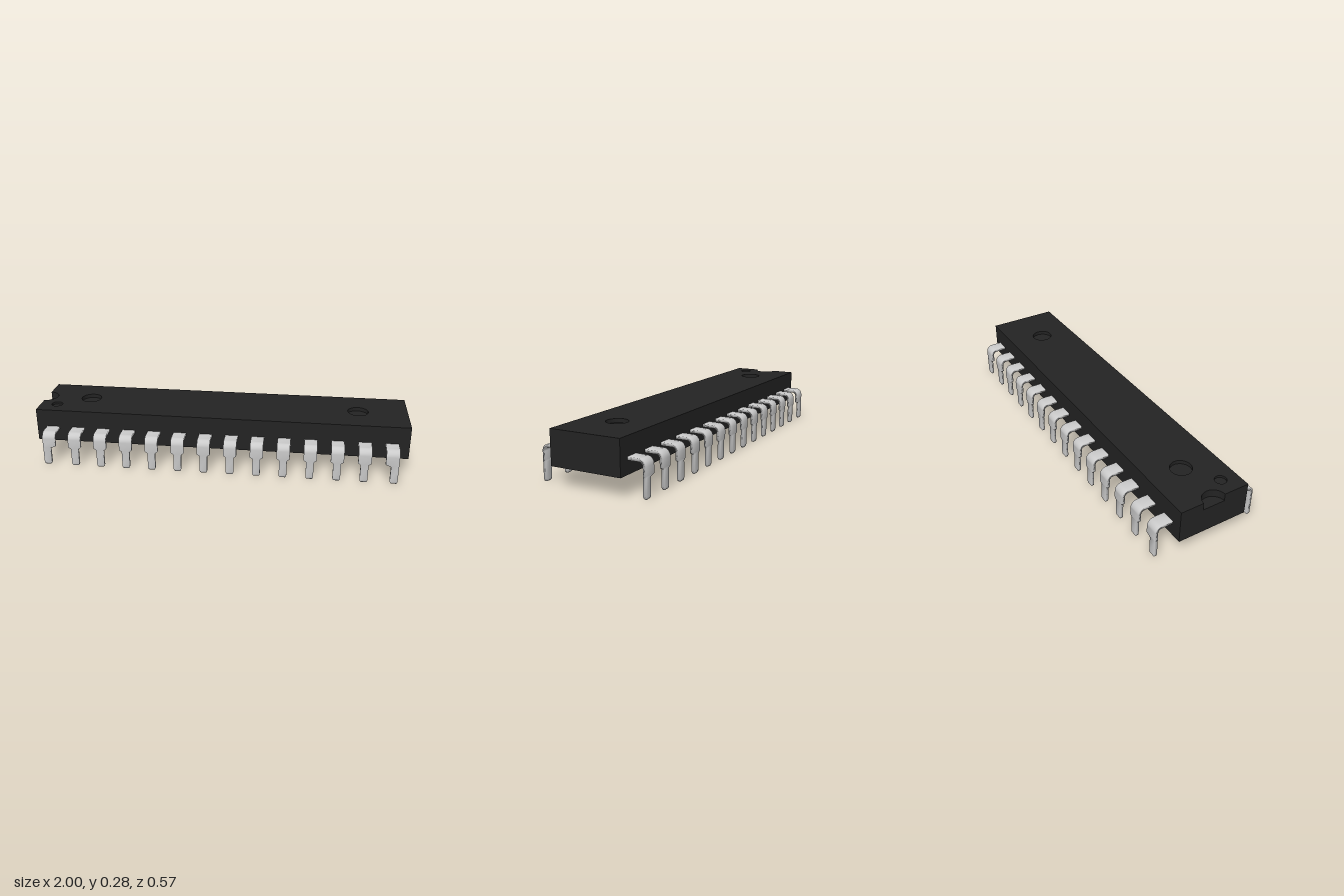
import * as THREE from 'three';

const bodyMat = new THREE.MeshStandardMaterial({ color: 0x232323 });
const pinMat = new THREE.MeshStandardMaterial({ color: 0xcccccc });

const PINS = 14, PITCH = 0.14;
const HALF_Z = 0.19, BOTTOM = 0.102, TOP = 0.279, NOTCH_DEPTH = 0.04;

function add(parent, name, geometry, material) {
  const mesh = new THREE.Mesh(geometry, material);
  mesh.name = name;
  parent.add(mesh);
  return mesh;
}

// Round recesses in the top face: x, z, radius, depth
const recesses = [
  [-0.745, -0.008, 0.055, 0.02],
  [0.735, 0.005, 0.055, 0.02],
  [-0.91, 0.1, 0.03, 0.012],
];

function makeBody() {
  const body = new THREE.Group();
  body.name = 'body';

  // Solid lower block
  const lowerH = TOP - NOTCH_DEPTH - BOTTOM;
  const block = add(body, 'lowerBlock', new THREE.BoxGeometry(2, lowerH, HALF_Z * 2), bodyMat);
  block.position.y = BOTTOM + lowerH / 2;

  // Top slab with the half-round end notch and the round recesses
  const s = new THREE.Shape();
  s.moveTo(-1, -HALF_Z);
  s.lineTo(1, -HALF_Z);
  s.lineTo(1, HALF_Z);
  s.lineTo(-1, HALF_Z);
  s.lineTo(-1, 0.065);
  s.absarc(-1, 0.005, 0.06, Math.PI / 2, -Math.PI / 2, true);
  for (const [x, z, r] of recesses) {
    const hole = new THREE.Path();
    hole.absarc(x, -z, r, 0, Math.PI * 2, true);
    s.holes.push(hole);
  }
  const slabGeo = new THREE.ExtrudeGeometry(s, { depth: NOTCH_DEPTH, bevelEnabled: false, curveSegments: 24 });
  slabGeo.rotateX(-Math.PI / 2);
  add(body, 'topSlab', slabGeo, bodyMat).position.y = TOP - NOTCH_DEPTH;

  // Floors of the round recesses
  for (const [x, z, r, depth] of recesses) {
    const floor = add(body, 'recessFloor', new THREE.CircleGeometry(r, 48).rotateX(-Math.PI / 2), bodyMat);
    floor.position.set(x, TOP - depth, z);
  }
  return body;
}

// Bent flat lead swept through rings; shift moves the narrow leg sideways
function pinGeometry(shift) {
  const wide = 0.034, narrow = 0.02, half = 0.008;
  const armY = 0.177, legZ = 0.276, bend = 0.027;
  const rings = []; // z, y, bend angle, half width, half thickness, centre x
  rings.push([0.17, armY, 0, wide, half, 0]);
  for (let i = 0; i <= 6; i++) {
    const a = (i / 6) * Math.PI / 2;
    rings.push([legZ - bend + bend * Math.sin(a), armY - bend + bend * Math.cos(a), a, wide, half, 0]);
  }
  const down = Math.PI / 2;
  rings.push(
    [legZ, 0.108, down, wide, half, 0],
    [legZ, 0.098, down, narrow, half, shift],
    [legZ, 0.012, down, narrow, half, shift],
    [legZ, 0.004, down, narrow * 0.85, half * 0.85, shift],
    [legZ, 0, down, narrow * 0.65, half * 0.5, shift],
  );

  const pos = [], index = [];
  for (const [z, y, a, w, t, cx] of rings) {
    for (const [sx, st] of [[-1, 1], [1, 1], [1, -1], [-1, -1]]) {
      pos.push(cx + sx * w, y + st * t * Math.cos(a), z + st * t * Math.sin(a));
    }
  }
  for (let i = 0; i < rings.length - 1; i++) {
    for (let j = 0; j < 4; j++) {
      const a = i * 4 + j, b = i * 4 + (j + 1) % 4;
      index.push(a, a + 4, b, b, a + 4, b + 4);
    }
  }
  const e = (rings.length - 1) * 4;
  index.push(e, e + 3, e + 2, e, e + 2, e + 1); // tip

  const g = new THREE.BufferGeometry();
  g.setAttribute('position', new THREE.Float32BufferAttribute(pos, 3));
  g.setIndex(index);
  g.computeVertexNormals();
  return g;
}

export function createModel() {
  const model = new THREE.Group();
  model.name = 'chip';
  model.add(makeBody());

  // End pins keep their outer edge straight, the others are symmetric
  const middle = pinGeometry(0), first = pinGeometry(-0.014), last = pinGeometry(0.014);
  for (const name of ['frontPins', 'backPins']) {
    const row = new THREE.Group();
    row.name = name;
    for (let i = 0; i < PINS; i++) {
      const geo = i === 0 ? first : i === PINS - 1 ? last : middle;
      add(row, 'pin', geo, pinMat).position.x = (i - (PINS - 1) / 2) * PITCH;
    }
    if (name === 'backPins') row.rotation.y = Math.PI;
    model.add(row);
  }
  return model;
}
